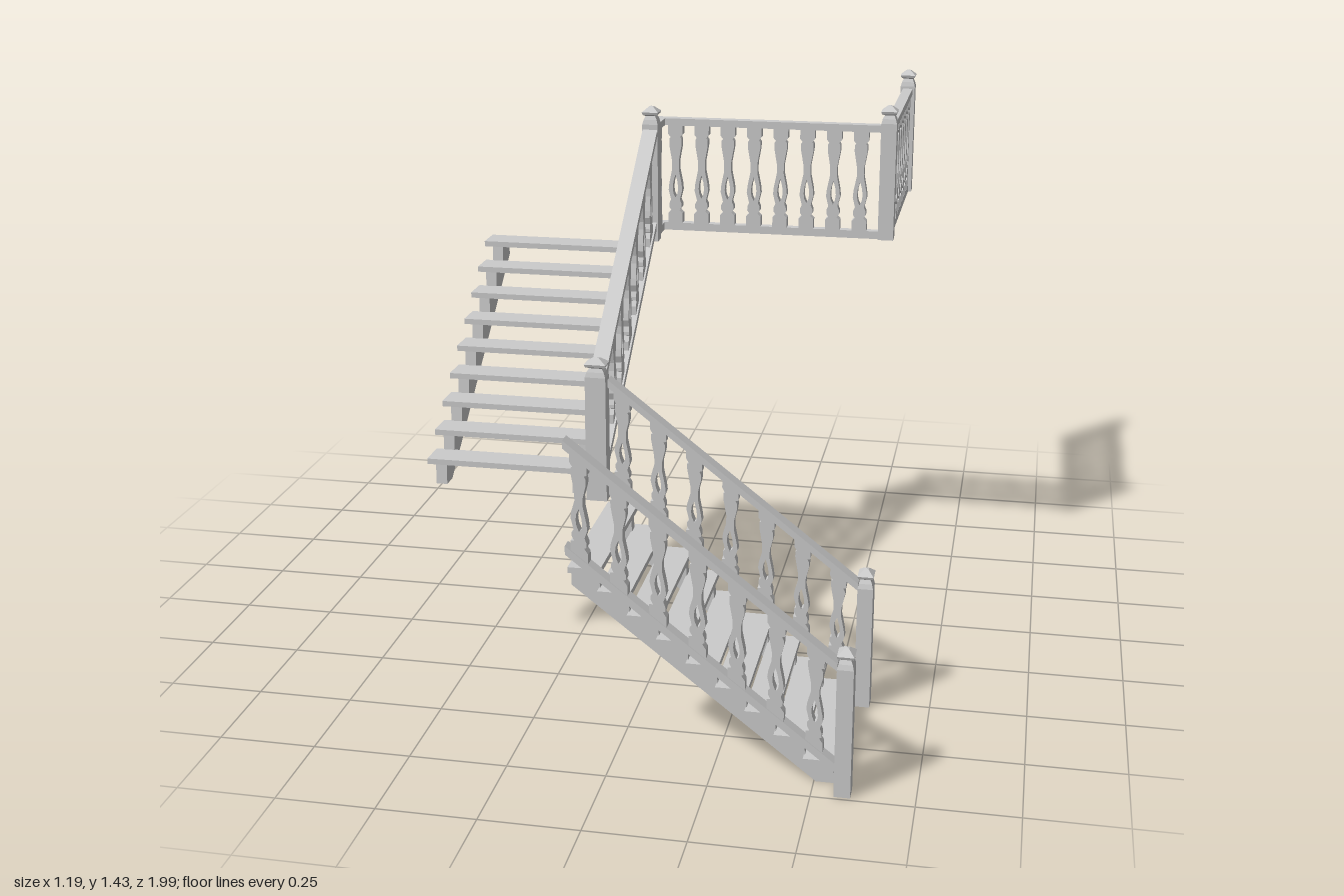
import * as THREE from 'three';

const grey = new THREE.MeshStandardMaterial({ color: 0xcccccc });

function mesh(geo, name, parent, x = 0, y = 0, z = 0) {
  const m = new THREE.Mesh(geo, grey);
  m.name = name;
  m.position.set(x, y, z);
  parent.add(m);
  return m;
}

// Baluster profile: height fraction, half width
const PROFILE = [
  [0, 0.021], [0.1, 0.021], [0.13, 0.012], [0.16, 0.018], [0.2, 0.018], [0.24, 0.013],
  [0.34, 0.02], [0.41, 0.018], [0.55, 0.01], [0.64, 0.01], [0.8, 0.018],
  [0.86, 0.018], [0.88, 0.014], [0.91, 0.021], [1, 0.021],
];

// Sawn baluster with a drop-shaped opening, standing on y = 0
function balusterGeometry(h) {
  const right = PROFILE.map(([t, w]) => new THREE.Vector2(w, t * h));
  const left = PROFILE.map(([t, w]) => new THREE.Vector2(-w, t * h)).reverse();
  const shape = new THREE.Shape([...right, ...left]);
  const hole = new THREE.Path();
  hole.moveTo(0, 0.26 * h);
  hole.quadraticCurveTo(-0.016, 0.34 * h, 0, 0.5 * h);
  hole.quadraticCurveTo(0.016, 0.34 * h, 0, 0.26 * h);
  shape.holes.push(hole);
  const depth = 0.026;
  return new THREE.ExtrudeGeometry(shape, { depth, bevelEnabled: false, curveSegments: 4 })
    .translate(0, 0, -depth / 2);
}

// Railing panel running along local +x, sheared upward by the slope
function railing(name, parent, { pos, turn, length, height, slope = 0, count, first, step, width }) {
  const g = new THREE.Group();
  g.name = name;
  g.position.set(...pos);
  g.rotation.y = turn;
  parent.add(g);
  const shear = new THREE.Matrix4().set(1, 0, 0, 0, slope, 1, 0, 0, 0, 0, 1, 0, 0, 0, 0, 1);
  const low = 0.022, top = 0.02;
  const bar = (h, y, w) =>
    new THREE.BoxGeometry(length, h, w).translate(length / 2, y, 0).applyMatrix4(shear);
  mesh(bar(low, low / 2, width * 0.85), 'bottomRail', g);
  mesh(bar(top, height - top / 2, width), 'handrail', g);
  const baluster = balusterGeometry(height - low - top).applyMatrix4(shear);
  for (let i = 0; i < count; i++) {
    const x = first + i * step;
    mesh(baluster, 'baluster', g, x, low + x * slope, 0);
  }
}

// Newel post with a necked, pointed cap
function newel(name, parent, x, y, z, w = 0.044, d = 0.044) {
  const g = new THREE.Group();
  g.name = name;
  g.position.set(x, y, z);
  parent.add(g);
  mesh(new THREE.BoxGeometry(w, 0.335, d), 'postShaft', g, 0, 0.1675, 0);
  // square section rings: height, scale
  const rings = [[0.335, 1], [0.348, 0.84], [0.358, 0.62], [0.362, 0.95], [0.369, 1.05], [0.383, 0.3], [0.385, 0]];
  const cap = new THREE.LatheGeometry(
    rings.map(([h, s]) => new THREE.Vector2(s * Math.SQRT1_2, h)), 4, Math.PI / 4
  ).scale(w, 1, d).toNonIndexed();
  cap.computeVertexNormals();
  mesh(cap, 'postCap', g);
}

// Open-riser flight climbing along local +x
const STEPS = 9, RUN = 0.0717, RISE = 0.0565, FIRST = 0.07, THICK = 0.015;
function flight(name, parent, pos, turn, width) {
  const g = new THREE.Group();
  g.name = name;
  g.position.set(...pos);
  g.rotation.y = turn;
  parent.add(g);

  const tread = new THREE.BoxGeometry(RUN + 0.008, THICK, width);
  const outline = [[0, 0]];
  for (let i = 0; i < STEPS; i++) {
    const y = FIRST + i * RISE - THICK;
    outline.push([i * RUN + 0.004, y], [(i + 1) * RUN, y]);
    mesh(tread, 'tread', g, (i + 0.5) * RUN, y + THICK / 2, 0);
  }
  outline.push([STEPS * RUN, 0.468], [0.045, 0]);

  // Sawtooth stringers under the treads
  const shape = new THREE.Shape(outline.map(([x, y]) => new THREE.Vector2(x, y)));
  const stringer = new THREE.ExtrudeGeometry(shape, { depth: 0.03, bevelEnabled: false })
    .translate(0, 0, -0.015);
  for (const s of [-1, 1]) mesh(stringer, 'stringer', g, 0, 0, s * (width / 2 - 0.036));
}

export function createModel() {
  const model = new THREE.Group();
  model.name = 'staircase';

  // Two flights at a right angle
  flight('lowerFlight', model, [0.55, 0, 0.736], Math.PI, 0.425);
  flight('upperFlight', model, [-0.374, 0.525, 0.49], Math.PI / 2, 0.445);

  // Sloping railings
  const slope = 0.78;
  const sloped = { length: 0.652, height: 0.287, slope, count: 7, first: 0.052, step: 0.0942, width: 0.038 };
  for (const z of [0.507, 0.965])
    railing('lowerRailing', model, { ...sloped, pos: [0.556, 0.06, z], turn: Math.PI });
  railing('upperRailing', model, {
    ...sloped, pos: [-0.128, 0.58, 0.49], turn: Math.PI / 2, length: 0.648, first: 0.035, step: 0.0935, width: 0.042,
  });

  // Level railings around the landing
  const level = { height: 0.328, step: 0.0765, width: 0.03 };
  railing('shortLandingRailing', model, {
    ...level, pos: [-0.13, 1.05, -0.2], turn: Math.PI / 2, length: 0.132, first: 0.05, count: 1,
  });
  railing('crossLandingRailing', model, {
    ...level, pos: [-0.145, 1.05, -0.318], turn: 0, length: 0.655, first: 0.06, count: 8,
  });
  railing('backLandingRailing', model, {
    ...level, pos: [0.528, 1.05, -0.335], turn: Math.PI / 2, length: 0.63, first: 0.03, count: 8,
  });

  // Newel posts
  newel('frontNewel', model, 0.575, 0, 0.967, 0.04, 0.048);
  newel('innerNewel', model, 0.575, 0, 0.507, 0.04, 0.048);
  newel('turnNewel', model, -0.128, 0.525, 0.51, 0.054, 0.04);
  newel('topNewel', model, -0.128, 1.05, -0.178);
  newel('cornerNewel', model, 0.528, 1.05, -0.316);
  newel('backNewel', model, 0.528, 1.05, -0.978);

  return model;
}
